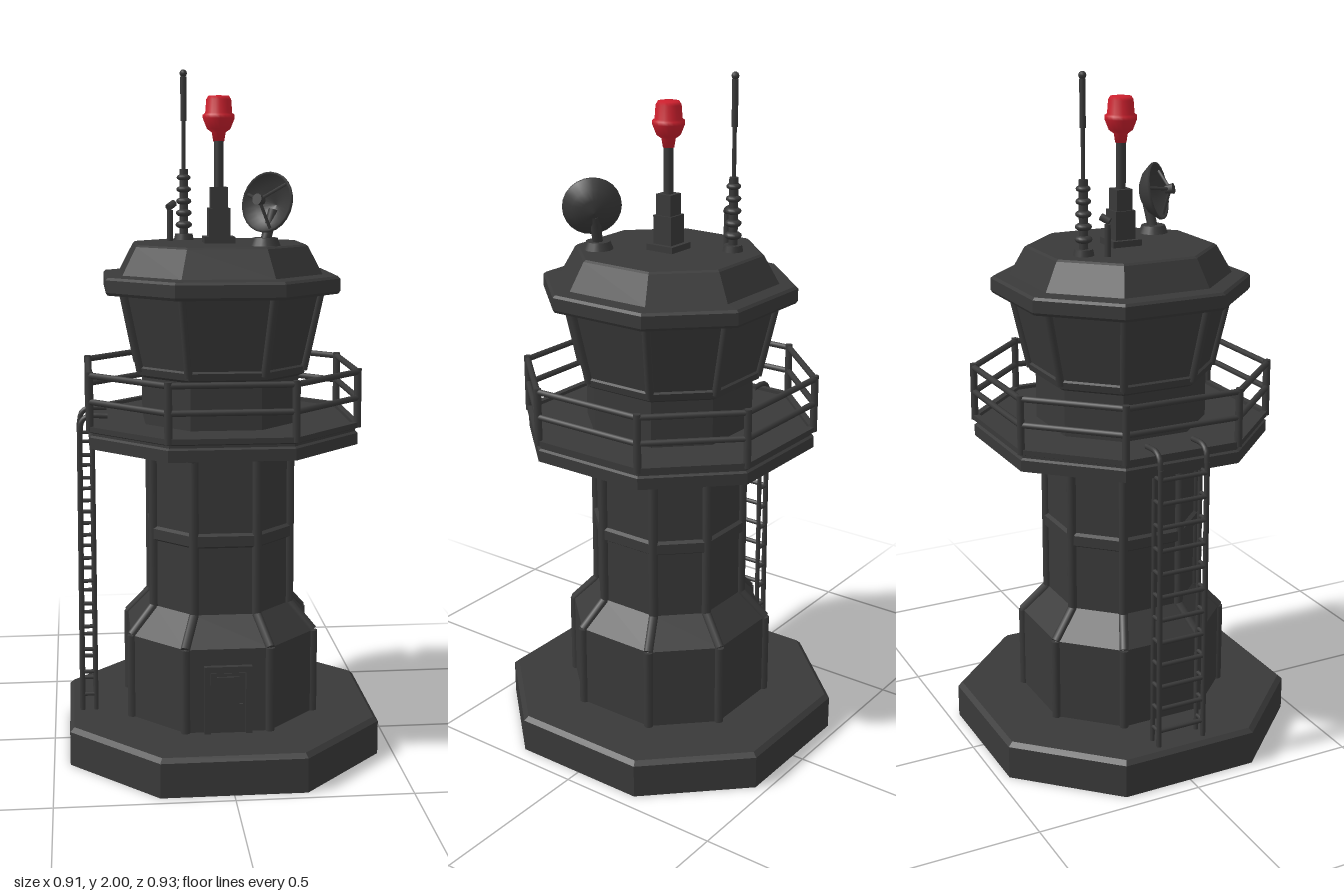
import * as THREE from 'three';

// Octagon corners for unit radius, flats facing the four axes
const OCT = [[1, -0.46], [1, 0.46], [0.455, 1.03], [-0.455, 1.03], [-1, 0.46], [-1, -0.46], [-0.455, -1.03], [0.455, -1.03]];
const corner = (i, r, y) => new THREE.Vector3(OCT[i % 8][0] * r, y, OCT[i % 8][1] * r);

// Octagonal solid from a [radius, height] profile, listed bottom to top
function octSolid(profile) {
  const pos = [];
  for (let k = 0; k + 1 < profile.length; k++) {
    const [r0, y0] = profile[k], [r1, y1] = profile[k + 1];
    for (let i = 0; i < 8; i++) {
      const a = corner(i, r0, y0), b = corner(i + 1, r0, y0), c = corner(i + 1, r1, y1), d = corner(i, r1, y1);
      if (r0 > 0) pos.push(...a, ...c, ...b);
      if (r1 > 0) pos.push(...a, ...d, ...c);
    }
  }
  const g = new THREE.BufferGeometry();
  g.setAttribute('position', new THREE.Float32BufferAttribute(pos, 3));
  g.computeVertexNormals();
  return g;
}

export function createModel() {
  const model = new THREE.Group();
  const dark = new THREE.MeshStandardMaterial({ color: 0x393939 });
  dark.name = 'darkGrey';
  const thin = new THREE.MeshStandardMaterial({ color: 0x393939, side: THREE.DoubleSide });
  thin.name = 'darkGreySheet';
  const red = new THREE.MeshStandardMaterial({ color: 0xcc1f2d });
  red.name = 'beaconRed';

  const add = (name, geo, x = 0, y = 0, z = 0, mat = dark, parent = model) => {
    const m = new THREE.Mesh(geo, mat);
    m.name = name;
    m.position.set(x, y, z);
    parent.add(m);
    return m;
  };
  const V = (x, y, z) => new THREE.Vector3(x, y, z);
  const UP = V(0, 1, 0);
  // Round bar between two points
  const bar = (name, a, b, r, sides = 8, parent = model) => {
    const d = b.clone().sub(a);
    const m = add(name, new THREE.CylinderGeometry(r, r, d.length(), sides), 0, 0, 0, dark, parent);
    m.position.copy(a).lerp(b, 0.5);
    m.quaternion.setFromUnitVectors(UP, d.normalize());
    return m;
  };
  const group = name => {
    const g = new THREE.Group();
    g.name = name;
    model.add(g);
    return g;
  };

  // Main octagonal masses
  add('base', octSolid([[0, 0], [0.453, 0], [0.453, 0.1], [0.44, 0.112], [0, 0.112]]));
  add('tower', octSolid([[0.27, 0.11], [0.27, 0.36], [0.2, 0.44], [0.2, 0.94]]));
  add('towerBand', octSolid([[0.195, 0.635], [0.21, 0.645], [0.21, 0.675], [0.195, 0.685]]));
  add('platform', octSolid([[0, 0.93], [0.385, 0.93], [0.385, 0.963], [0.378, 0.968], [0.378, 0.975],
    [0.39, 0.98], [0.39, 0.995], [0.372, 0.995], [0.372, 0.985], [0, 0.985]]));
  add('cabin', octSolid([[0.222, 0.98], [0.222, 1.13], [0.235, 1.15], [0.28, 1.365]]));
  add('cabinSill', octSolid([[0.22, 1.12], [0.238, 1.13], [0.242, 1.15], [0.23, 1.16]]));
  add('roof', octSolid([[0, 1.362], [0.328, 1.362], [0.333, 1.37], [0.333, 1.405], [0.326, 1.412],
    [0.285, 1.416], [0.245, 1.495], [0.238, 1.5], [0, 1.5]]));

  // Corner ribs along the tower and cabin, with brackets under the platform
  const ribs = group('cornerRibs');
  const ribPath = [[0.268, 0.11], [0.268, 0.36], [0.2, 0.44], [0.2, 0.93]];
  for (let i = 0; i < 8; i++) {
    for (let k = 0; k < 3; k++) {
      bar('towerRib', corner(i, ...ribPath[k]), corner(i, ...ribPath[k + 1]), 0.014, 8, ribs);
    }
    bar('cabinRib', corner(i, 0.235, 1.14), corner(i, 0.28, 1.365), 0.012, 8, ribs);
    bar('platformBracket', corner(i, 0.205, 0.9), corner(i, 0.215, 0.935), 0.022, 8, ribs);
  }

  // Railing
  const railing = group('railing');
  for (let i = 0; i < 8; i++) {
    bar('railPost', corner(i, 0.383, 0.98), corner(i, 0.383, 1.15), 0.011, 8, railing);
    for (const y of [1.065, 1.14]) {
      bar('rail', corner(i, 0.383, y), corner(i + 1, 0.383, y), 0.009, 8, railing);
    }
  }

  // Door on the front face
  const door = group('door');
  const fz = 0.279;
  add('doorPanel', new THREE.BoxGeometry(0.1, 0.18, 0.012), 0, 0.2, fz, dark, door);
  for (const s of [-1, 1]) add('doorJamb', new THREE.BoxGeometry(0.018, 0.2, 0.03), s * 0.06, 0.21, fz, dark, door);
  add('doorLintel', new THREE.BoxGeometry(0.138, 0.018, 0.03), 0, 0.303, fz, dark, door);
  add('doorInset', new THREE.BoxGeometry(0.065, 0.06, 0.008), 0, 0.25, fz + 0.008, dark, door);
  add('doorHandle', new THREE.BoxGeometry(0.01, 0.02, 0.012), 0.037, 0.19, fz + 0.01, dark, door);

  // Ladder with doubled side rails, hooked over the platform
  const ladder = group('ladder');
  for (const z of [-0.085, 0.06]) {
    bar('ladderOuterRail', V(-0.415, 0.11, z), V(-0.412, 0.96, z), 0.008, 8, ladder);
    bar('ladderInnerRail', V(-0.375, 0.11, z), V(-0.375, 0.94, z), 0.007, 8, ladder);
    const hook = new THREE.CatmullRomCurve3([V(-0.412, 0.95, z), V(-0.405, 0.99, z), V(-0.385, 1.004, z), V(-0.33, 1.004, z)]);
    add('ladderHook', new THREE.TubeGeometry(hook, 12, 0.008, 8), 0, 0, 0, dark, ladder);
  }
  for (let k = 0; k < 12; k++) {
    const y = 0.16 + k * 0.07;
    bar('rung', V(-0.413, y, -0.085), V(-0.413, y, 0.06), 0.007, 8, ladder);
    for (const z of [-0.085, 0.06]) bar('ladderBrace', V(-0.413, y, z), V(-0.375, y, z), 0.006, 6, ladder);
  }

  // Beacon on its mast
  add('mastFoot', new THREE.BoxGeometry(0.09, 0.02, 0.09), 0, 1.508, 0);
  add('mastBox', new THREE.BoxGeometry(0.062, 0.09, 0.062), 0, 1.555, 0);
  add('mastCollar', new THREE.BoxGeometry(0.05, 0.07, 0.05), 0, 1.625, 0);
  bar('mast', V(0, 1.65, 0), V(0, 1.81, 0), 0.014, 12);
  const lamp = [[0, 1.79], [0.016, 1.79], [0.02, 1.815], [0.034, 1.825], [0.046, 1.855], [0.046, 1.865], [0.039, 1.87],
    [0.036, 1.908], [0.03, 1.918], [0, 1.92]];
  add('beacon', new THREE.LatheGeometry(lamp.map(p => new THREE.Vector2(...p)), 20), 0, 0, 0, red);

  // Tall antenna with insulator discs, and a short one beside it
  const antenna = group('antenna');
  const ax = -0.09, az = -0.16;
  add('antennaFoot', new THREE.CylinderGeometry(0.026, 0.03, 0.02, 16), ax, 1.508, az, dark, antenna);
  bar('antennaCore', V(ax, 1.5, az), V(ax, 1.71, az), 0.013, 10, antenna);
  for (let k = 0; k < 5; k++) {
    const disc = add('insulator', new THREE.SphereGeometry(0.025 - k * 0.001, 14, 8), ax, 1.545 + k * 0.035, az, dark, antenna);
    disc.scale.y = 0.5;
  }
  bar('antennaRod', V(ax, 1.7, az), V(ax, 1.99, az), 0.006, 8, antenna);
  bar('antennaSleeve', V(ax, 1.85, az), V(ax, 1.98, az), 0.009, 8, antenna);
  add('antennaTip', new THREE.SphereGeometry(0.011, 10, 8), ax, 1.989, az, dark, antenna);
  bar('shortAntenna', V(-0.135, 1.5, -0.108), V(-0.135, 1.59, -0.108), 0.009, 8, antenna);
  bar('shortAntennaHead', V(-0.14, 1.598, -0.104), V(-0.122, 1.61, -0.122), 0.011, 8, antenna);

  // Dish aerial on a pivot
  add('dishFoot', new THREE.CylinderGeometry(0.035, 0.045, 0.025, 16), 0.115, 1.51, 0.165);
  bar('dishArm', V(0.115, 1.51, 0.165), V(0.14, 1.6, 0.155), 0.015, 10);
  const dish = group('dish');
  dish.position.set(0.14, 1.615, 0.16);
  dish.quaternion.setFromUnitVectors(UP, V(-0.68, 0.2, 0.7).normalize());
  const bowl = [[0, -0.022], [0.035, -0.016], [0.062, 0], [0.085, 0.028], [0.085, 0.036], [0.079, 0.034], [0.056, 0.008], [0, -0.012]];
  add('dishBowl', new THREE.LatheGeometry(bowl.map(p => new THREE.Vector2(...p)), 24), 0, 0, 0, thin, dish);
  for (let k = 0; k < 3; k++) {
    const t = k * Math.PI * 2 / 3;
    bar('feedStrut', V(0.075 * Math.cos(t), 0.028, 0.075 * Math.sin(t)), V(0, 0.07, 0), 0.005, 6, dish);
  }
  add('feedHorn', new THREE.CylinderGeometry(0.016, 0.012, 0.025, 12), 0, 0.068, 0, dark, dish);

  return model;
}
